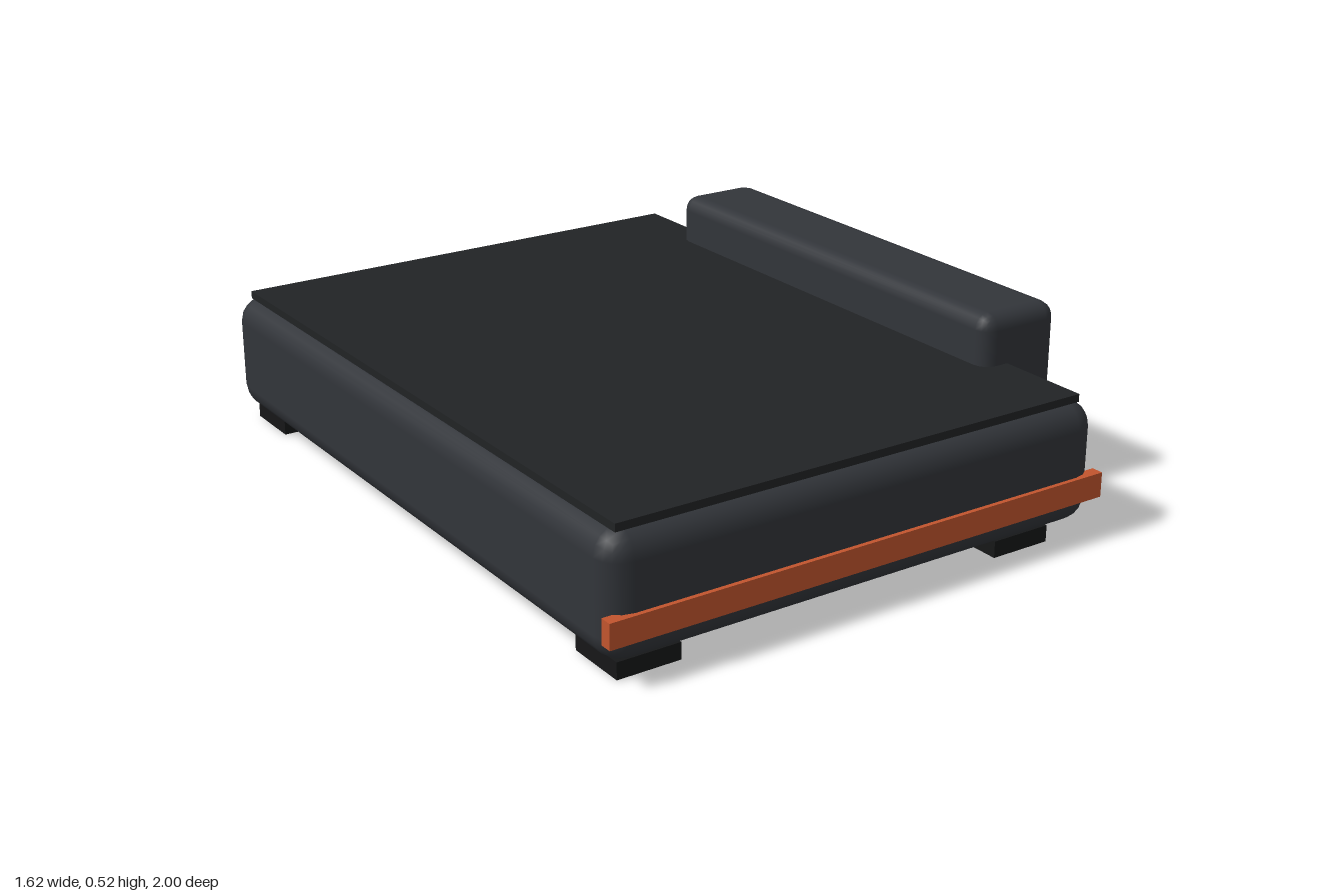
import * as THREE from 'three';
import { RoundedBoxGeometry } from 'three/addons/geometries/RoundedBoxGeometry.js';

const material = (color) => new THREE.MeshStandardMaterial({ color });

export function createModel() {
  const group = new THREE.Group();
  const shell = material(0x32353a);
  const dark = material(0x212325);
  const black = material(0x161718);
  const orange = material(0xc2552e);

  // Adds a box given its extents on each axis; a radius rounds its edges
  function addBox(name, mat, [x0, x1], [y0, y1], [z0, z1], radius = 0, segments = 2) {
    const size = [x1 - x0, y1 - y0, z1 - z0];
    const geometry = radius
      ? new RoundedBoxGeometry(...size, segments, radius)
      : new THREE.BoxGeometry(...size);
    const mesh = new THREE.Mesh(geometry, mat);
    mesh.name = name;
    mesh.position.set((x0 + x1) / 2, (y0 + y1) / 2, (z0 + z1) / 2);
    group.add(mesh);
  }

  // Main body with its thin top plate
  addBox('body', shell, [-0.8, 0.665], [0.04, 0.367], [-1, 0.988], 0.068);
  addBox('topPlate', dark, [-0.76, 0.625], [0.362, 0.383], [-0.957, 0.95]);

  // Accent strip across the front
  addBox('frontStrip', orange, [-0.808, 0.675], [0.108, 0.175], [0.967, 1]);

  // Raised module on the left side, with a slot on its outer face
  addBox('sideModule', shell, [0.545, 0.797], [0.04, 0.52], [-0.693, 0.685], 0.042);
  addBox('sideSlot', black, [0.785, 0.807], [0.395, 0.438], [-0.522, 0.517]);

  // Four feet
  for (const x of [[-0.76, -0.585], [0.365, 0.54]])
    for (const z of [[0.78, 0.953], [-0.957, -0.784]])
      addBox('foot', black, x, [0, 0.045], z);

  return group;
}
